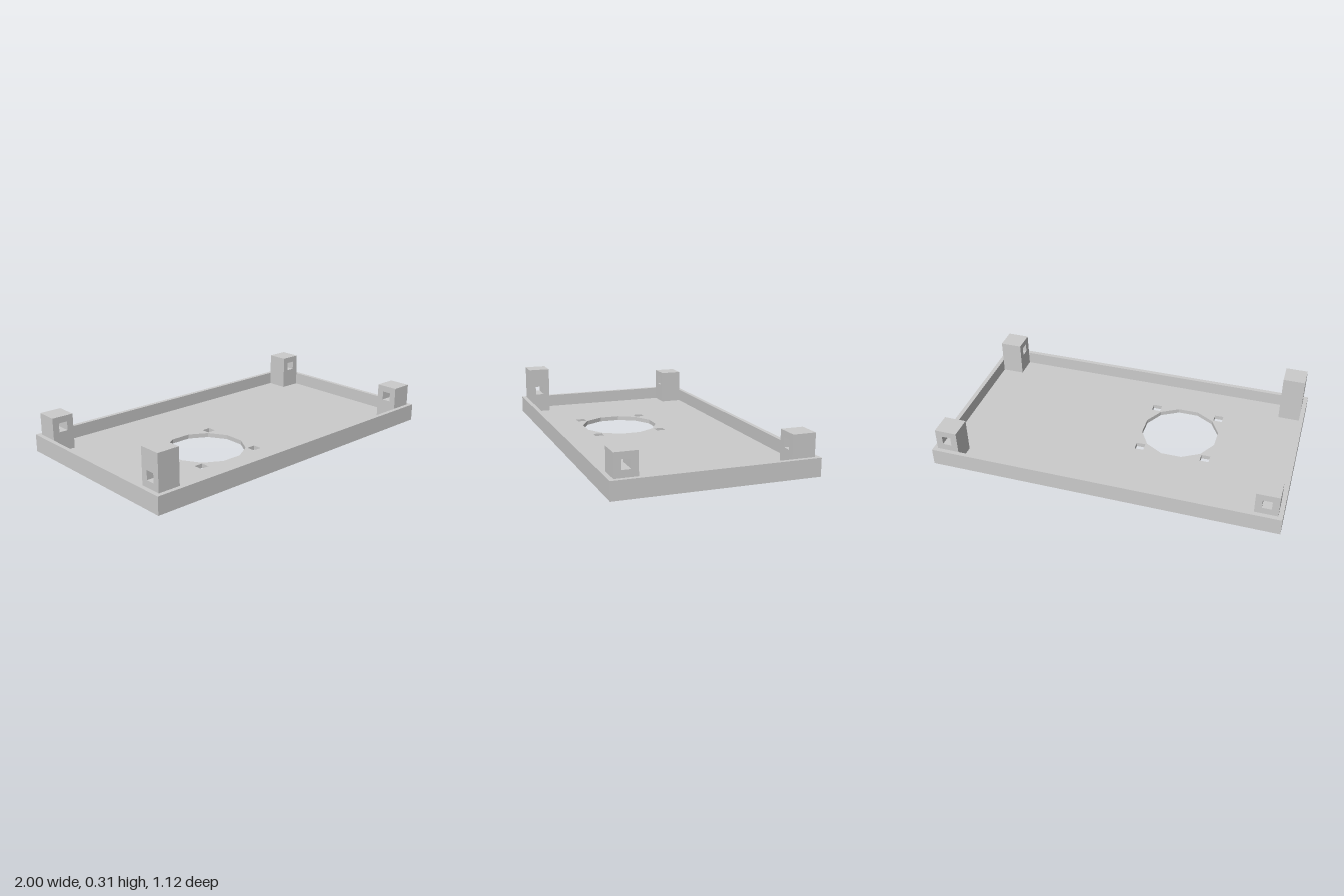
import * as THREE from 'three';

const material = new THREE.MeshStandardMaterial({ color: 0xcccccc, flatShading: true });

const HALF_X = 1, HALF_Z = 0.56, HEIGHT = 0.1; // tray
const WALL = 0.025, FLOOR = 0.025;
const POST = 0.128, HOLE = 0.052, HOLE_Y = 0.165;

// Rectangle centred on (cx, cy), as a Shape or a Path
function rect(Type, cx, cy, w, h) {
  const p = new Type();
  p.moveTo(cx - w / 2, cy - h / 2);
  p.lineTo(cx + w / 2, cy - h / 2);
  p.lineTo(cx + w / 2, cy + h / 2);
  p.lineTo(cx - w / 2, cy + h / 2);
  p.closePath();
  return p;
}

// Extrudes a plan (x, -z) upwards from y0 to y1
function slab(name, shape, y0, y1) {
  const geo = new THREE.ExtrudeGeometry(shape, { depth: y1 - y0, bevelEnabled: false });
  geo.rotateX(-Math.PI / 2).translate(0, y0, 0);
  const mesh = new THREE.Mesh(geo, material);
  mesh.name = name;
  return mesh;
}

// Square post with a square hole running along x or z
function post(name, x, z, top, axis) {
  const shape = rect(THREE.Shape, 0, (FLOOR + top) / 2, POST, top - FLOOR);
  shape.holes.push(rect(THREE.Path, 0, HOLE_Y, HOLE, HOLE));
  const geo = new THREE.ExtrudeGeometry(shape, { depth: POST, bevelEnabled: false });
  geo.translate(0, 0, -POST / 2);
  if (axis === 'x') geo.rotateY(Math.PI / 2);
  const mesh = new THREE.Mesh(geo, material);
  mesh.name = name;
  mesh.position.set(x, 0, z);
  return mesh;
}

export function createModel() {
  const group = new THREE.Group();
  group.name = 'mountingTray';

  // Floor with a twelve-sided opening and four square screw holes
  const cx = -0.302, cz = 0.09, radius = 0.228, pitch = 0.195;
  const floor = rect(THREE.Shape, 0, 0, 2 * HALF_X, 2 * HALF_Z);
  const opening = [];
  for (let i = 0; i < 12; i++) {
    const a = ((i + 0.5) * Math.PI) / 6;
    opening.push(new THREE.Vector2(cx + radius * Math.cos(a), -cz + radius * Math.sin(a)));
  }
  floor.holes.push(new THREE.Path(opening));
  for (const sx of [-1, 1])
    for (const sz of [-1, 1])
      floor.holes.push(rect(THREE.Path, cx + sx * pitch, -cz + sz * pitch, 0.052, 0.052));
  group.add(slab('floor', floor, 0, FLOOR));

  // Thin wall around the edge
  const rim = rect(THREE.Shape, 0, 0, 2 * HALF_X, 2 * HALF_Z);
  rim.holes.push(rect(THREE.Path, 0, 0, 2 * (HALF_X - WALL), 2 * (HALF_Z - WALL)));
  group.add(slab('rim', rim, FLOOR, HEIGHT));

  // Corner posts: one is taller, front pair drilled sideways, back pair front to back
  const px = HALF_X - WALL - POST / 2, pz = HALF_Z - WALL - POST / 2;
  group.add(
    post('frontRightPost', -px, pz, 0.305, 'x'),
    post('frontLeftPost', px, pz, 0.228, 'x'),
    post('backRightPost', -px, -pz, 0.228, 'z'),
    post('backLeftPost', px, -pz, 0.228, 'z'),
  );
  return group;
}
